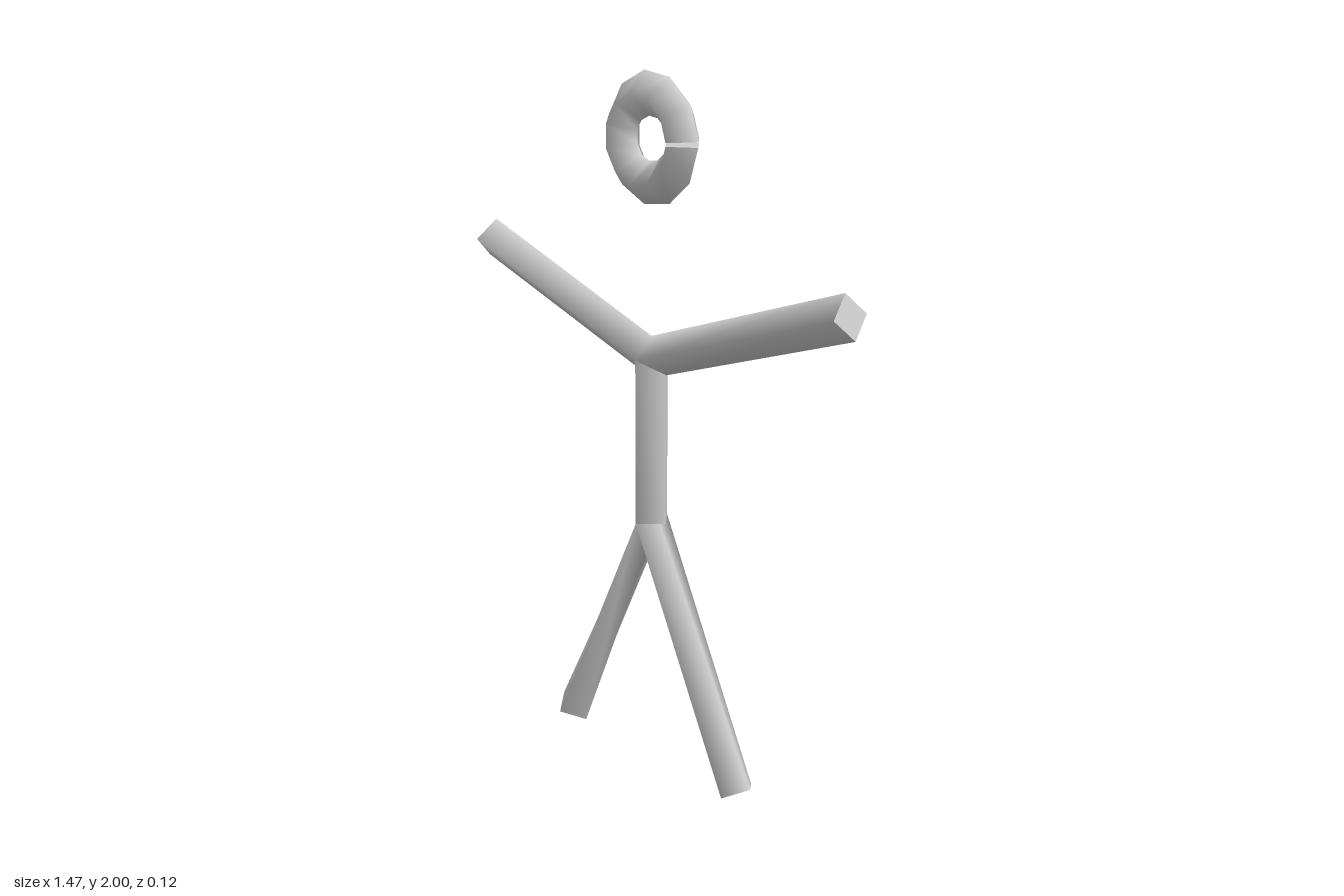
import * as THREE from 'three';

const R = 0.06; // half thickness of every limb

// Smooth four-sided bar with flat end caps. Each station is [x, y, a]:
// a centre in the front plane and the angle of its in-plane corner.
function bar(name, stations, material) {
  const pos = [], index = [];
  const ring = ([x, y, a]) => {
    const c = Math.cos(a) * R, s = Math.sin(a) * R;
    pos.push(x + c, y + s, 0, x, y, R, x - c, y - s, 0, x, y, -R);
  };
  stations.forEach(ring);
  const n = stations.length;
  for (let i = 0; i < n - 1; i++) {
    for (let j = 0; j < 4; j++) {
      const a = i * 4 + j, b = i * 4 + (j + 1) % 4;
      index.push(a, b, a + 4, b, b + 4, a + 4);
    }
  }
  // End caps have their own corners so their edges stay sharp
  ring(stations[0]);
  ring(stations[n - 1]);
  const s = n * 4, e = s + 4;
  index.push(s, s + 2, s + 1, s, s + 3, s + 2, e, e + 1, e + 2, e, e + 2, e + 3);
  const geometry = new THREE.BufferGeometry();
  geometry.setAttribute('position', new THREE.Float32BufferAttribute(pos, 3));
  geometry.setIndex(index);
  geometry.computeVertexNormals();
  const mesh = new THREE.Mesh(geometry, material);
  mesh.name = name;
  return mesh;
}

// Mirrored pair of limbs swept from -x to +x through an upright middle station
function limbPair(name, x, y, midY, material) {
  const tilt = Math.atan2(y - midY, x);
  const up = Math.PI / 2;
  return bar(name, [[-x, y, up - tilt], [0, midY, up], [x, y, up + tilt]], material);
}

export function createModel() {
  const model = new THREE.Group();
  model.name = 'stickFigure';
  const grey = new THREE.MeshStandardMaterial({ color: 0xcccccc });
  grey.name = 'light grey';

  model.add(limbPair('arms', 0.715, 1.462, 1.225, grey));
  model.add(limbPair('legs', 0.357, 0.03, 0.75, grey));
  model.add(bar('torso', [[0, 1.225, 0], [0, 0.75, 0]], grey));

  // Ring head, left open by a narrow slit on its +x side
  const head = [], segments = 11, slit = 0.04;
  for (let i = 0; i <= segments; i++) {
    const a = 2 * Math.PI - slit - (i / segments) * (2 * Math.PI - 2 * slit);
    head.push([Math.cos(a) * 0.12, 1.822 + Math.sin(a) * 0.12, a]);
  }
  model.add(bar('head', head, grey));
  return model;
}
